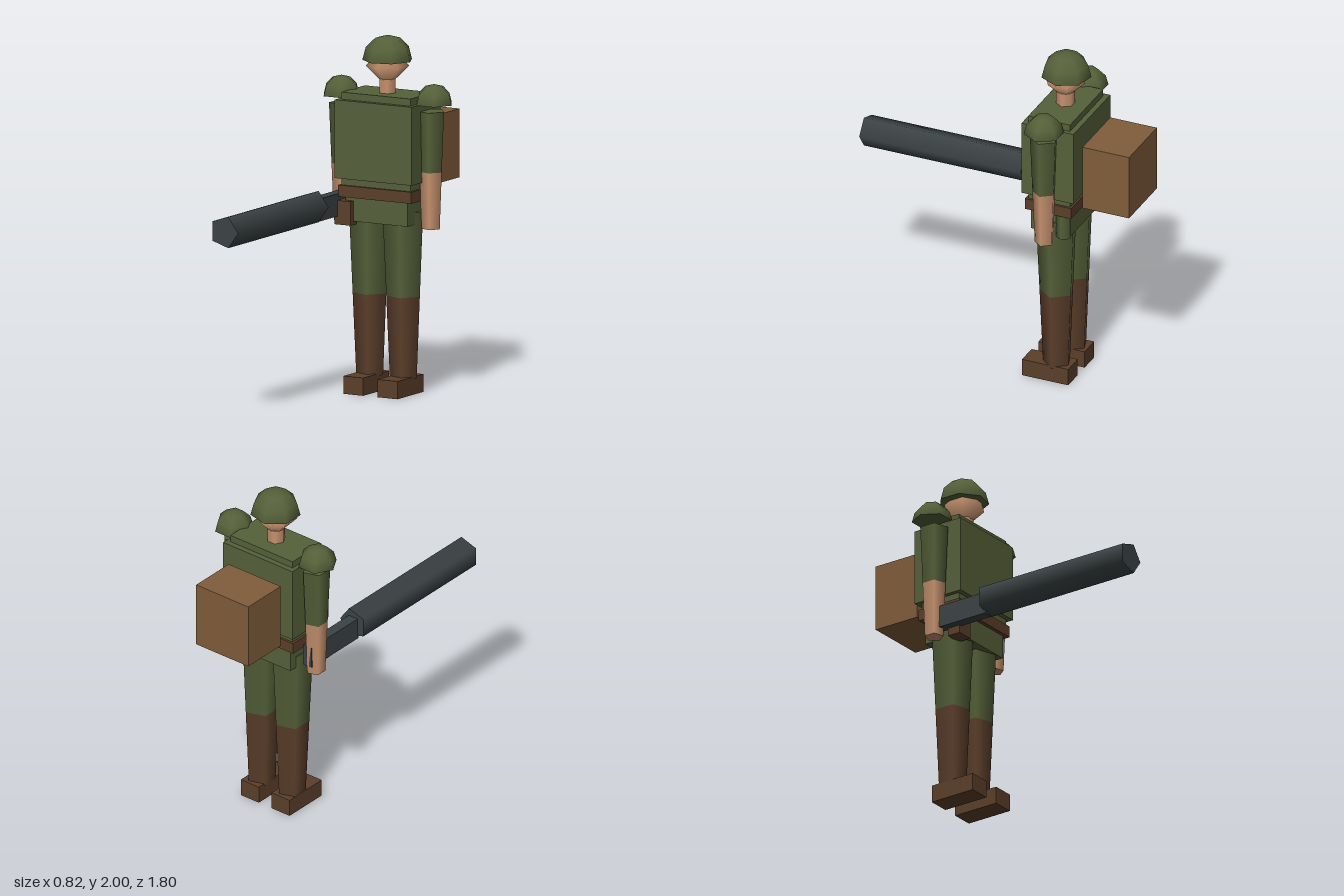
import * as THREE from 'three';
import { mergeGeometries } from 'three/addons/utils/BufferGeometryUtils.js';

const BODY_Z = -0.43;

function material(name, color) {
  const m = new THREE.MeshStandardMaterial({ color });
  m.name = name;
  return m;
}

// Box given by its extents on each axis
function box(x0, x1, y0, y1, z0, z1) {
  return new THREE.BoxGeometry(x1 - x0, y1 - y0, z1 - z0)
    .translate((x0 + x1) / 2, (y0 + y1) / 2, (z0 + z1) / 2);
}

// Upright five-sided limb section with one corner toward +x
function limb(x, z, y0, y1, rBottom, rTop, sides = 5) {
  return new THREE.CylinderGeometry(rTop, rBottom, y1 - y0, sides)
    .rotateY(Math.PI / 2)
    .translate(x, (y0 + y1) / 2, z);
}

// Half sphere closed by a flat underside
function dome(radius, sides) {
  const shell = new THREE.SphereGeometry(radius, sides, 3, 0, Math.PI * 2, 0, Math.PI / 2);
  const base = new THREE.CircleGeometry(radius, sides).rotateX(Math.PI / 2).rotateY(Math.PI);
  return mergeGeometries([shell, base]);
}

export function createModel() {
  const group = new THREE.Group();
  const green = material('olive cloth', 0x556039);
  const leather = material('dark leather', 0x5c3f2b);
  const canvas = material('tan canvas', 0x805d3a);
  const skin = material('skin', 0xc8936f);
  const metal = material('gun metal', 0x3c4345);

  const add = (name, geometry, mat) => {
    const mesh = new THREE.Mesh(geometry, mat);
    mesh.name = name;
    group.add(mesh);
  };

  // Head, neck and helmet
  add('helmet', dome(0.142, 7).rotateY(Math.PI).translate(0, 1.86, BODY_Z - 0.005), green);
  add('head', new THREE.SphereGeometry(0.12, 6, 2).rotateY(Math.PI / 2).translate(0, 1.83, BODY_Z), skin);
  add('neck', limb(0, BODY_Z, 1.66, 1.76, 0.052, 0.052, 6), skin);

  // Torso, vest, belt and hips
  add('torso', box(-0.222, 0.222, 1.12, 1.68, -0.558, -0.305), green);
  add('vest', box(-0.247, 0.247, 1.2, 1.64, -0.59, -0.275), green);
  add('belt', box(-0.235, 0.235, 1.095, 1.16, -0.57, -0.29), leather);
  add('hips', box(-0.2, 0.2, 0.96, 1.12, -0.55, -0.312), green);

  // Belt gear and backpack
  add('beltPouch', box(-0.25, -0.148, 0.94, 1.075, -0.36, -0.28), leather);
  add('canteen', limb(0.185, -0.505, 0.945, 1.09, 0.046, 0.046), green);
  add('backpack', box(-0.186, 0.186, 1.15, 1.535, -0.9, -0.617), canvas);

  // Arms and legs on both sides
  for (const [side, s] of [['left', 1], ['right', -1]]) {
    const armX = s * 0.282;
    const legX = s * 0.108;
    add(side + 'ShoulderPad', dome(0.112, 6).translate(s * 0.298, 1.64, BODY_Z - 0.003), green);
    add(side + 'Sleeve', limb(armX, BODY_Z, 1.26, 1.6, 0.067, 0.081), green);
    add(side + 'Forearm', limb(armX, BODY_Z, 0.94, 1.26, 0.054, 0.067), skin);
    add(side + 'TrouserLeg', limb(legX, BODY_Z, 0.55, 1.03, 0.1, 0.121), green);
    add(side + 'Boot', limb(legX, BODY_Z, 0.09, 0.55, 0.08, 0.1), leather);
    add(side + 'Shoe', box(s * 0.11 - 0.064, s * 0.11 + 0.064, 0, 0.1, -0.525, -0.245), leather);
  }

  // Heavy gun held in the right hand
  add('gunStock', box(-0.295, -0.233, 0.985, 1.112, -0.48, -0.07), metal);
  add('gunBarrel', new THREE.CylinderGeometry(0.092, 0.092, 0.98, 5)
    .rotateY(Math.PI / 2).rotateX(Math.PI / 2).translate(-0.263, 1.07, 0.41), metal);

  return group;
}
